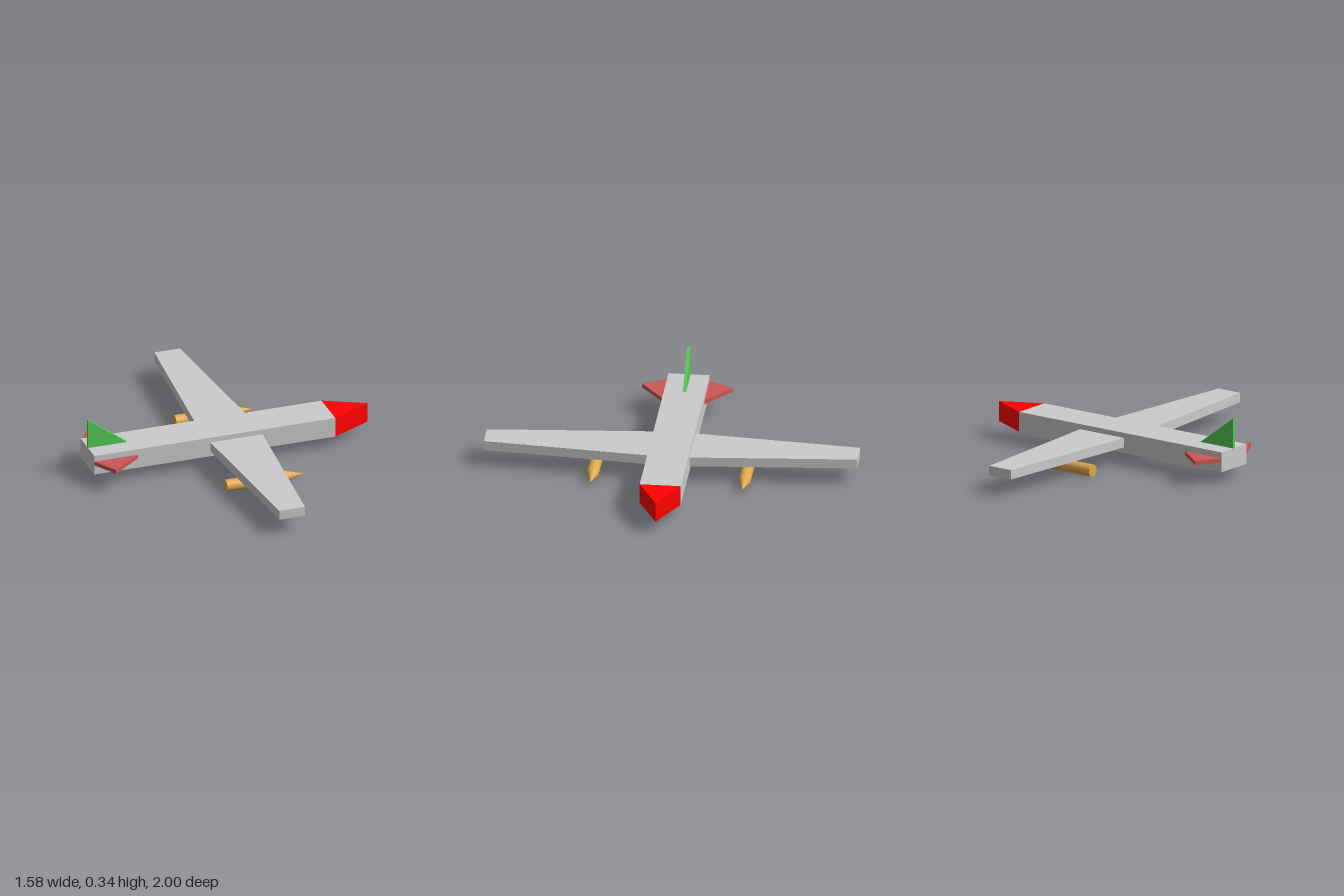
import * as THREE from 'three';

const material = (color) => new THREE.MeshStandardMaterial({ color });

// Flat plate: outline given as [x, z], standing between heights y0 and y1
function plate(name, outline, y0, y1, mat) {
  const shape = new THREE.Shape(outline.map(([x, z]) => new THREE.Vector2(x, z)));
  const geo = new THREE.ExtrudeGeometry(shape, { depth: y1 - y0, bevelEnabled: false });
  geo.rotateX(Math.PI / 2).translate(0, y1, 0);
  const mesh = new THREE.Mesh(geo, mat);
  mesh.name = name;
  return mesh;
}

export function createModel() {
  const model = new THREE.Group();
  model.name = 'aircraft';
  const grey = material(0xcccccc);
  const red = material(0xff0000);
  const pink = material(0xcc5555);
  const green = material(0x55cc55);
  const gold = material(0xe0a850);

  // Box fuselage and wedge nose
  const halfWidth = 0.11, bottom = 0.065, top = 0.175;
  model.add(plate('fuselage', [
    [-0.79, -halfWidth], [0.57, -halfWidth], [0.57, halfWidth], [-0.79, halfWidth],
  ], bottom, top, grey));
  model.add(plate('nose', [
    [0.57, -halfWidth], [0.79, 0], [0.57, halfWidth],
  ], bottom, top, red));

  // Upright tail fin
  const finShape = new THREE.Shape([
    new THREE.Vector2(-0.79, top),
    new THREE.Vector2(-0.57, top),
    new THREE.Vector2(-0.79, 0.34),
  ]);
  const finGeo = new THREE.ExtrudeGeometry(finShape, { depth: 0.018, bevelEnabled: false });
  finGeo.translate(0, 0, -0.009);
  const fin = new THREE.Mesh(finGeo, green);
  fin.name = 'tailFin';
  model.add(fin);

  // Mirrored wings, tailplanes and underwing stores
  for (const s of [1, -1]) {
    const side = s > 0 ? 'Front' : 'Back';
    model.add(plate('wing' + side, [
      [-0.135, s * halfWidth], [0.16, s * halfWidth], [0.085, s], [-0.06, s],
    ], 0.095, 0.147, grey));
    model.add(plate('tailplane' + side, [
      [-0.79, s * halfWidth], [-0.545, s * halfWidth], [-0.715, s * 0.243],
    ], 0.12, 0.142, pink));

    const store = new THREE.Group();
    store.name = 'store' + side;
    const r = 0.033;
    const body = new THREE.Mesh(
      new THREE.CylinderGeometry(r, r, 0.33, 32).rotateZ(-Math.PI / 2).translate(0.01, 0, 0), gold);
    body.name = 'storeBody';
    const tip = new THREE.Mesh(
      new THREE.ConeGeometry(r, 0.11, 32).rotateZ(-Math.PI / 2).translate(0.23, 0, 0), gold);
    tip.name = 'storeTip';
    store.add(body, tip);
    store.position.set(0, r, s * 0.407);
    model.add(store);
  }
  return model;
}
